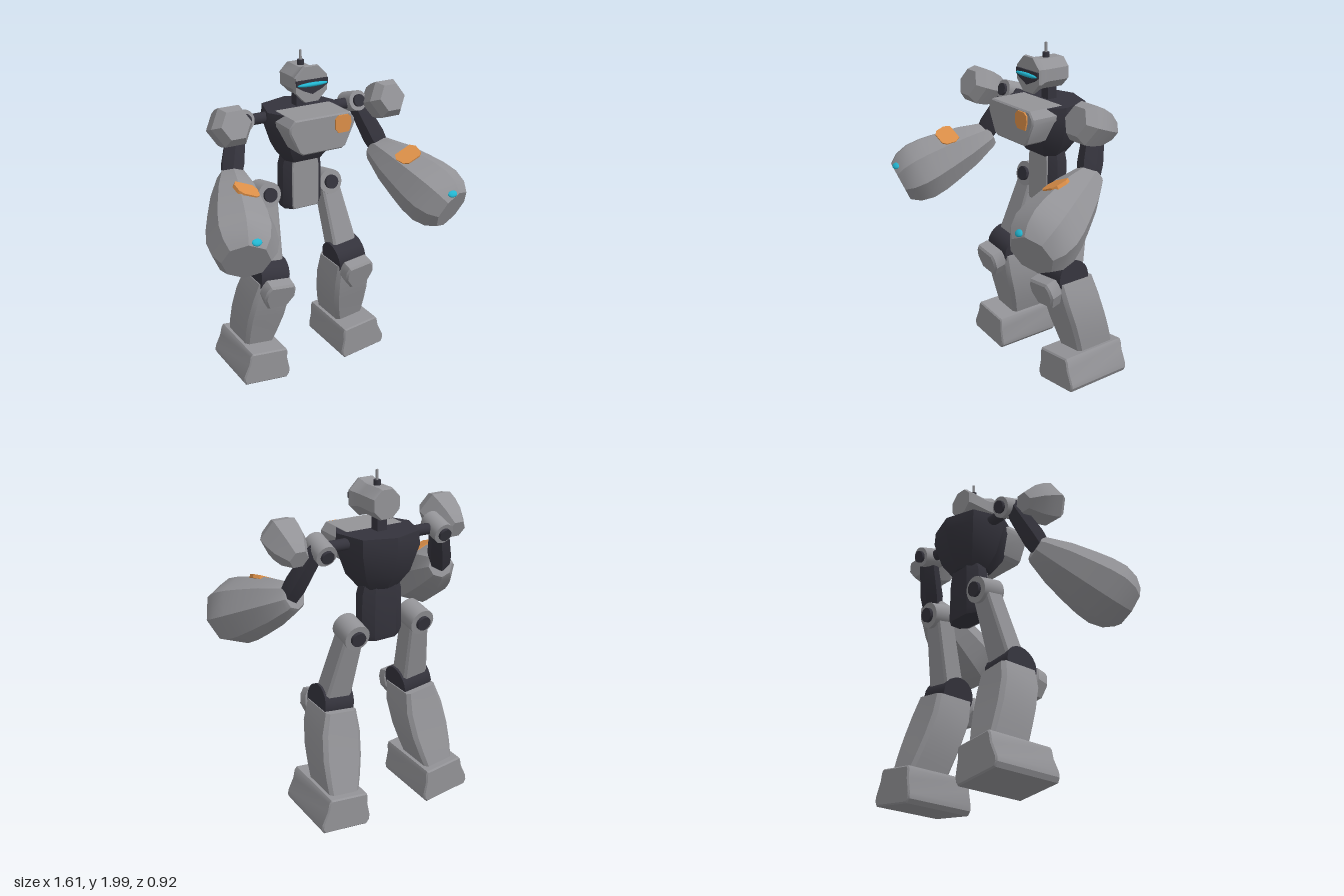
import * as THREE from 'three';
import { toCreasedNormals } from 'three/addons/utils/BufferGeometryUtils.js';

const material = (name, color) => {
  const m = new THREE.MeshStandardMaterial({ color });
  m.name = name;
  return m;
};

// Closed solid: outline [x, z] carried through rings [y, scaleX, scaleZ, offsetZ], listed upwards
function loft(outline, rings) {
  const n = outline.length, pos = [], idx = [];
  for (const [y, sx, sz, dz] of rings) for (const [x, z] of outline) pos.push(x * sx, y, z * sz + dz);
  for (let r = 0; r < rings.length - 1; r++) {
    for (let i = 0; i < n; i++) {
      const a = r * n + i, b = r * n + (i + 1) % n;
      idx.push(a, b, a + n, b, b + n, a + n);
    }
  }
  const top = (rings.length - 1) * n;
  for (let i = 1; i < n - 1; i++) idx.push(0, i + 1, i, top, top + i, top + i + 1);
  const g = new THREE.BufferGeometry();
  g.setAttribute('position', new THREE.Float32BufferAttribute(pos, 3));
  g.setIndex(idx);
  return g;
}

// Faceted turned solid along +y, profile [y, radius]
function turned(profile, sides, phi = 0) {
  const pts = profile.map(([y, r]) => new THREE.Vector2(r, y));
  pts.unshift(new THREE.Vector2(0, pts[0].y));
  pts.push(new THREE.Vector2(0, pts[pts.length - 1].y));
  return new THREE.LatheGeometry(pts, sides, phi);
}

// Symmetric plate facing +z from right-hand points [x, y], listed upwards
function plate(half, depth, bevel = 0) {
  const left = half.map(([x, y]) => [-x, y]).reverse();
  return extrude([...half, ...left], depth, bevel);
}

function extrude(points, depth, bevel = 0) {
  const shape = new THREE.Shape(points.map(([x, y]) => new THREE.Vector2(x, y)));
  const g = new THREE.ExtrudeGeometry(shape, {
    depth: depth - 2 * bevel, bevelEnabled: bevel > 0, bevelThickness: bevel,
    bevelSize: bevel, bevelOffset: -bevel, bevelSegments: 1,
  });
  return g.translate(0, 0, bevel - depth / 2);
}

const rod = (r, length, sides = 24) => new THREE.CylinderGeometry(r, r, length, sides);
const UP = new THREE.Vector3(0, 1, 0);
const FRONT = new THREE.Vector3(0, 0, 1);

export function createModel() {
  const grey = material('armour grey', 0x939397);
  const dark = material('frame dark', 0x34333c);
  const orange = material('marking orange', 0xdc8f48);
  const cyan = material('lens cyan', 0x22b5d0);

  const model = new THREE.Group();
  model.name = 'robot';

  function add(parent, name, geometry, mat, p = [0, 0, 0], r = [0, 0, 0]) {
    const mesh = new THREE.Mesh(toCreasedNormals(geometry, 0.5), mat);
    mesh.name = name;
    mesh.position.set(...p);
    mesh.rotation.set(...r);
    parent.add(mesh);
    return mesh;
  }
  const aim = (mesh, from, to) => {
    const dir = new THREE.Vector3(...to).sub(new THREE.Vector3(...from)).normalize();
    mesh.quaternion.setFromUnitVectors(UP, dir);
  };

  // Torso and waist
  const torso = [[0.17, 0.17], [0.235, 0.05], [0.18, -0.135], [0, -0.195],
    [-0.18, -0.135], [-0.235, 0.05], [-0.17, 0.17]];
  add(model, 'torso', loft(torso, [[1.37, 0.5, 0.5, -0.22], [1.45, 0.78, 0.78, -0.22],
    [1.6, 1, 1, -0.22], [1.68, 0.98, 0.97, -0.22]]), dark);
  const waist = [[0.09, 0.07], [0.13, 0.03], [0.13, -0.035], [0.07, -0.075],
    [-0.07, -0.075], [-0.13, -0.035], [-0.13, 0.03], [-0.09, 0.07]];
  add(model, 'waist', loft(waist, [[1.065, 0.9, 0.9, -0.23], [1.1, 1, 1, -0.23],
    [1.33, 0.97, 1, -0.23], [1.385, 0.86, 0.95, -0.23]]), dark);
  add(model, 'waistPanel', plate([[0.08, 1.067], [0.088, 1.09], [0.088, 1.33], [0.08, 1.375]], 0.03, 0.005),
    grey, [0, 0, -0.168]);

  // Chest plate with badge
  add(model, 'chestPlate', plate([[0.125, 1.475], [0.15, 1.49], [0.207, 1.61], [0.207, 1.64], [0.175, 1.682]], 0.235, 0.008),
    grey, [0, 0, -0.073]);
  add(model, 'chestBadge', extrude([[-0.03, -0.05], [0.038, -0.05], [0.053, 0], [0.048, 0.035],
    [0.03, 0.05], [-0.03, 0.05], [-0.05, 0.03], [-0.05, -0.025]], 0.009), orange, [0.122, 1.625, 0.056]);

  // Neck, head, visor and antenna
  add(model, 'neck', new THREE.BoxGeometry(0.06, 0.12, 0.06), dark, [0, 1.73, -0.23]);
  add(model, 'head', turned([[-0.305, 0.085], [-0.29, 0.092], [-0.17, 0.089], [-0.14, 0.092], [-0.095, 0.112], [-0.08, 0.108]],
    8, Math.PI / 8), grey, [0, 1.834, 0], [Math.PI / 2, 0, 0]);
  add(model, 'visorFrame', plate([[0, 1.78], [0.06, 1.805], [0.1, 1.83], [0.1, 1.862]], 0.02), dark, [0, 0, -0.08]);
  add(model, 'visorLens', new THREE.SphereGeometry(1, 20, 10), cyan, [0, 1.836, -0.067]).scale.set(0.096, 0.012, 0.014);
  add(model, 'antennaBase', rod(0.02, 0.04, 12), dark, [0, 1.925, -0.205]);
  add(model, 'antenna', rod(0.008, 0.08, 10), grey, [0, 1.96, -0.205]);

  for (const s of [1, -1]) {
    const side = s > 0 ? 'left' : 'right';

    // Arm
    const arm = new THREE.Group();
    arm.name = side + 'Arm';
    model.add(arm);
    add(arm, 'shoulderRod', rod(0.032, 0.16, 16), dark, [s * 0.26, 1.635, -0.235], [0, 0, Math.PI / 2]);
    const tilt = [Math.PI / 2 - 0.3, 0, 0];
    add(arm, 'shoulderJoint', rod(0.06, 0.145), grey, [s * 0.37, 1.637, -0.245], tilt);
    add(arm, 'shoulderPin', rod(0.036, 0.18), dark, [s * 0.37, 1.637, -0.245], tilt);

    const padBack = [s * 0.5, 1.61, -0.25], padFront = [s * 0.5, 1.7, -0.01];
    aim(add(arm, 'shoulderPad', turned([[-0.01, 0.055], [0.07, 0.1], [0.14, 0.117], [0.2, 0.122], [0.256, 0.085]],
      6, Math.PI / 6), grey, padBack), padBack, padFront);

    const shoulder = [s * 0.385, 1.65, -0.245], elbow = [s * 0.49, 1.37, -0.12];
    aim(add(arm, 'upperArm', turned([[0, 0.045], [0.06, 0.058], [0.25, 0.07], [0.34, 0.06]], 6), dark, shoulder),
      shoulder, elbow);

    const rear = [s * 0.475, 1.365, -0.15], fist = [s * 0.66, 1.11, 0.39];
    aim(add(arm, 'forearm', turned([[0, 0.07], [0.02, 0.085], [0.16, 0.135], [0.3, 0.167], [0.4, 0.186],
      [0.49, 0.192], [0.57, 0.172], [0.625, 0.13]], 8, Math.PI / 8), grey, rear), rear, fist);

    const marking = add(arm, 'forearmMarking', plate([[0.04, -0.055], [0.065, -0.035], [0.075, 0.02], [0.055, 0.055]], 0.02),
      orange, [s * 0.523, 1.385, 0.135]);
    marking.up.set(0, 0, -1);
    marking.lookAt(s * 0.523 - s * 0.38, 1.385 + 0.88, 0.135 + 0.27);
    const lens = add(arm, 'forearmLens', new THREE.SphereGeometry(1, 14, 8), cyan, [s * 0.62, 1.232, 0.437]);
    lens.scale.set(0.03, 0.022, 0.012);
    lens.quaternion.setFromUnitVectors(FRONT, new THREE.Vector3(-s * 0.1, 0.75, 0.65).normalize());

    // Leg, splayed outwards from the hip
    const leg = new THREE.Group();
    leg.name = side + 'Leg';
    leg.position.set(s * 0.21, 1.15, 0);
    leg.rotation.z = s * 0.125;
    model.add(leg);
    const hipTilt = [Math.PI / 2 - 0.2, 0, 0];
    add(leg, 'hipJoint', rod(0.075, 0.145), grey, [0, 0.002, -0.285], hipTilt);
    add(leg, 'hipPin', rod(0.042, 0.185), dark, [0, 0.002, -0.285], hipTilt);

    const block = [[0.8, 1], [1, 0.85], [1, -0.85], [0.8, -1], [-0.8, -1], [-1, -0.85], [-1, 0.85], [-0.8, 1]];
    add(leg, 'thigh', loft(block, [[-0.43, 0.082, 0.068, -0.165], [-0.02, 0.06, 0.06, -0.272]]), grey);
    add(leg, 'kneeJoint', rod(0.105, 0.185, 20), dark, [0, -0.462, -0.15], [0, 0, Math.PI / 2]);
    add(leg, 'kneeCap', plate([[0.06, -0.085], [0.1, -0.01], [0.095, 0.045], [0.075, 0.08]], 0.085, 0.012),
      grey, [0, -0.525, -0.012], [0.26, 0, 0]);
    add(leg, 'shin', loft(block, [[-0.935, 0.095, 0.13, -0.287], [-0.85, 0.11, 0.13, -0.263], [-0.74, 0.123, 0.13, -0.23],
      [-0.6, 0.122, 0.13, -0.19], [-0.48, 0.098, 0.122, -0.168]]), grey);
    add(leg, 'foot', plate([[0.14, -1.135], [0.156, -1.11], [0.156, -1.08], [0.13, -1.0], [0.126, -0.95], [0.115, -0.93]], 0.43, 0.008),
      grey, [0, 0, -0.245]);
  }
  return model;
}
